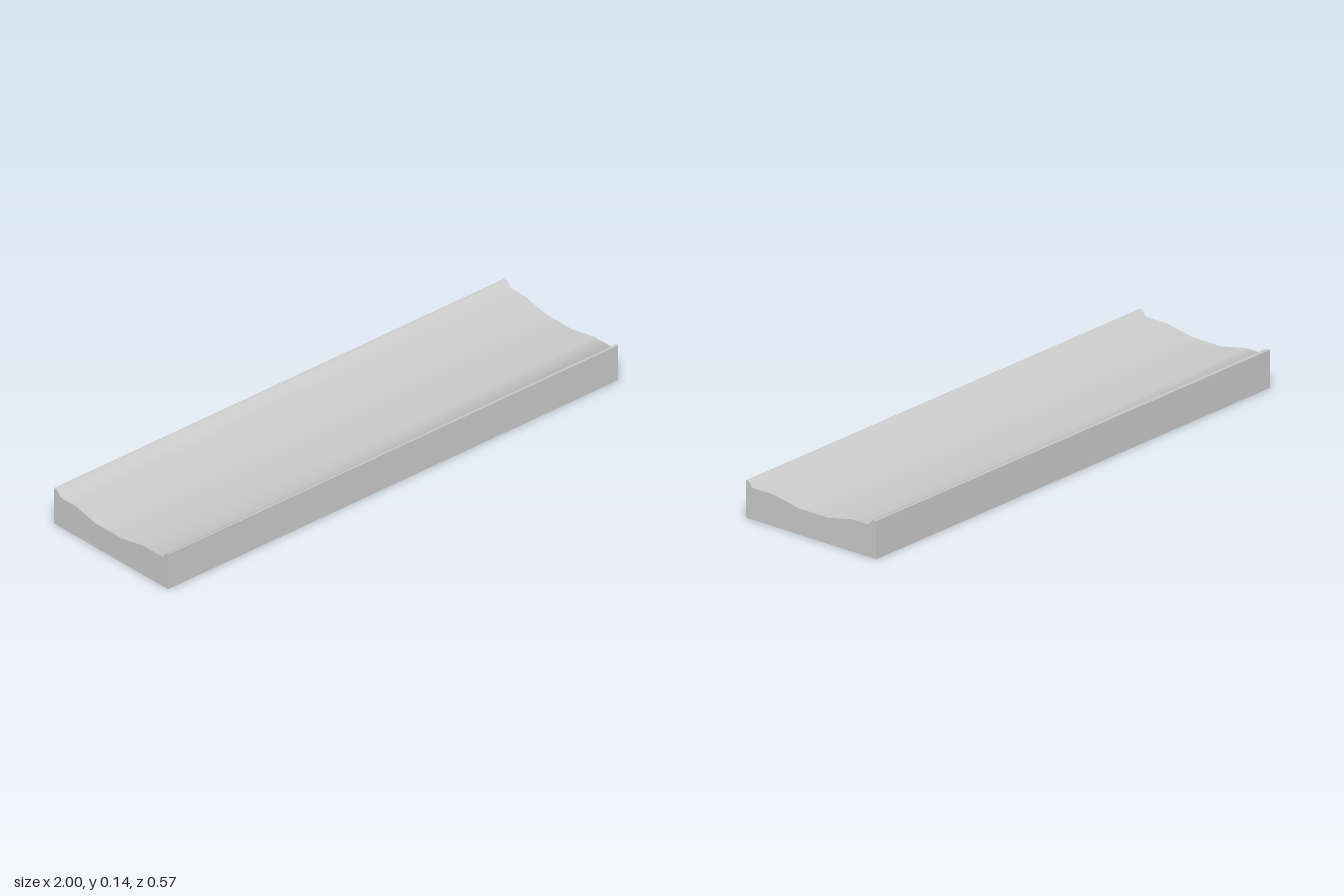
import * as THREE from 'three';
import { toCreasedNormals } from 'three/addons/utils/BufferGeometryUtils.js';

const LENGTH = 2;

// Cross-section as [z, y], from the front foot over the dished top to the back foot
const PROFILE = [
  [0.283, 0], [0.283, 0.134], [0.272, 0.134], [0.256, 0.113], [0.162, 0.113],
  [0.053, 0.093], [-0.074, 0.093],
  [-0.178, 0.115], [-0.249, 0.115], [-0.267, 0.136], [-0.283, 0.136], [-0.283, 0],
];

export function createModel() {
  const group = new THREE.Group();
  group.name = 'channelSlab';

  // Extrude along z, then turn so the length runs along x
  const shape = new THREE.Shape(PROFILE.map(([z, y]) => new THREE.Vector2(-z, y)));
  const geometry = new THREE.ExtrudeGeometry(shape, { depth: LENGTH, bevelEnabled: false });
  geometry.translate(0, 0, -LENGTH / 2);
  geometry.rotateY(Math.PI / 2);

  // Soft shading across the top, sharp outer edges
  const slab = new THREE.Mesh(
    toCreasedNormals(geometry, THREE.MathUtils.degToRad(57)),
    new THREE.MeshStandardMaterial({ color: 0xcccccc })
  );
  slab.name = 'slab';
  group.add(slab);
  return group;
}
